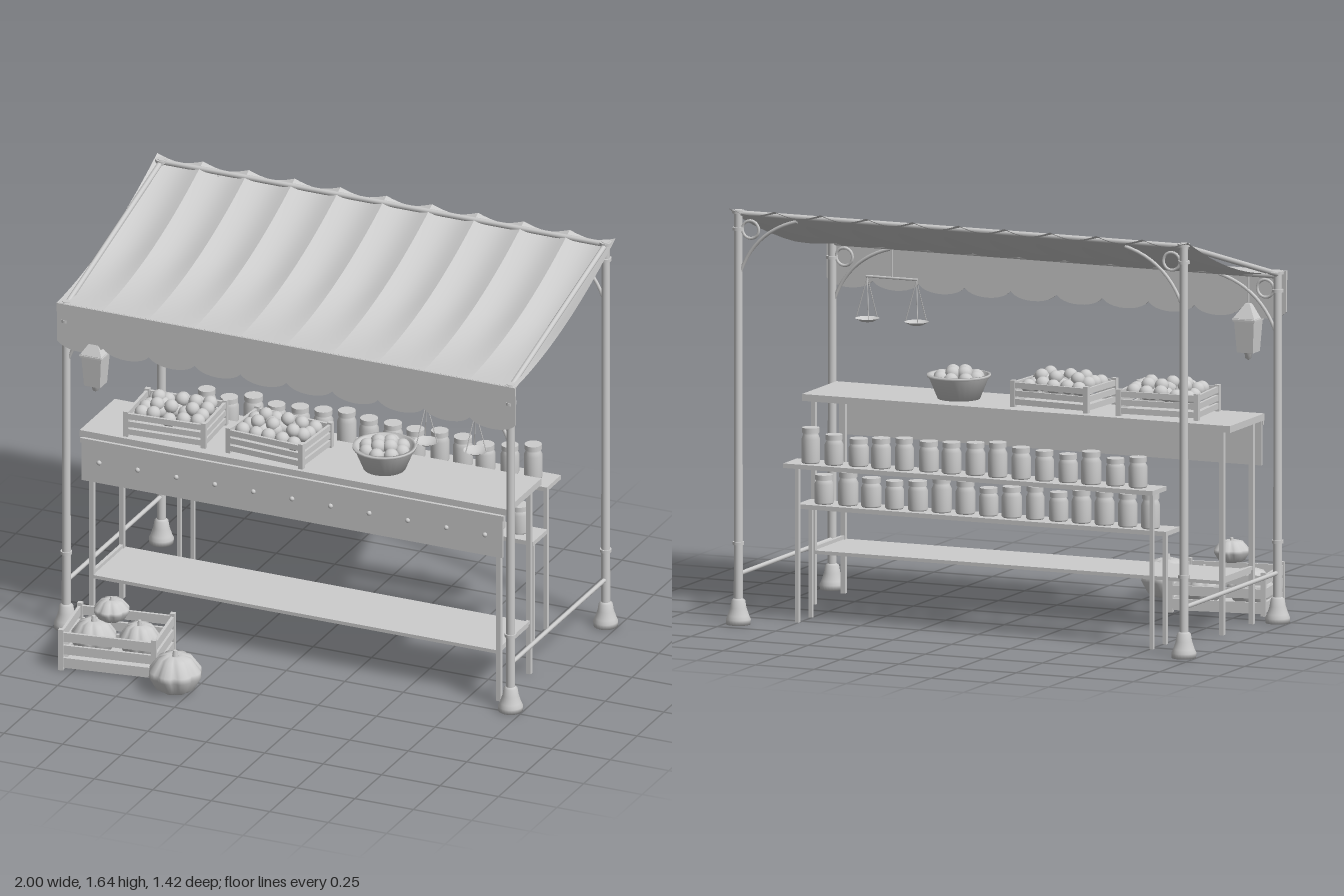
import * as THREE from 'three';

const grey = new THREE.MeshStandardMaterial({ color: 0xcccccc, side: THREE.DoubleSide });
grey.name = 'plain grey';

let seed = 7;
const rand = () => (seed = (seed * 16807) % 2147483647) / 2147483647;

function add(parent, name, geo, x = 0, y = 0, z = 0) {
  const m = new THREE.Mesh(geo, grey);
  m.name = name;
  m.position.set(x, y, z);
  parent.add(m);
  return m;
}
const box = (p, name, w, h, d, x, y, z) => add(p, name, new THREE.BoxGeometry(w, h, d), x, y, z);
const lathe = (pts, n = 20) => new THREE.LatheGeometry(pts.map(a => new THREE.Vector2(...a)), n);
const V = (x, y, z) => new THREE.Vector3(x, y, z);

// Straight round bar between two points
function bar(p, name, a, b, r, n = 10) {
  const d = b.clone().sub(a);
  const m = add(p, name, new THREE.CylinderGeometry(r, r, d.length(), n));
  m.position.copy(a).addScaledVector(d, 0.5);
  m.quaternion.setFromUnitVectors(V(0, 1, 0), d.normalize());
}

function group(parent, name, x = 0, y = 0, z = 0, ry = 0) {
  const g = new THREE.Group();
  g.name = name;
  g.position.set(x, y, z);
  g.rotation.y = ry;
  parent.add(g);
  return g;
}

// Slatted crate with corner posts and a floor
function crate(parent, w, h, d, x, y, z, ry) {
  const g = group(parent, 'crate', x, y, z, ry), t = 0.012, post = 0.02;
  box(g, 'crateFloor', w - 0.02, t, d - 0.02, 0, 0.014, 0);
  for (const sx of [-1, 1]) for (const sz of [-1, 1])
    box(g, 'cratePost', post, h, post, sx * (w - post) / 2, h / 2, sz * (d - post) / 2);
  for (let i = 0; i < 3; i++) {
    const sy = h * (0.2 + i * 0.31), sh = h * 0.22;
    for (const s of [-1, 1]) {
      box(g, 'crateSlat', w - 0.004, sh, t, 0, sy, s * (d / 2 - t / 2 - 0.003));
      box(g, 'crateSlat', t, sh, d - 0.004, s * (w / 2 - t / 2 - 0.003), sy, 0);
    }
  }
  return g;
}

// Eight-lobed squash with a stem
function pumpkin(parent, r, h, x, y, z) {
  const g = group(parent, 'pumpkin', x, y, z);
  const geo = lathe([[0, 0.04], [0.55, 0], [0.75, 0.1], [1, 0.43], [0.98, 0.58], [0.62, 0.93], [0.3, 1], [0, 0.93]]
    .map(([a, b]) => [a * r, b * h]), 48);
  const p = geo.attributes.position;
  for (let i = 0; i < p.count; i++) {
    const k = 0.88 + 0.12 * Math.sqrt(Math.abs(Math.cos(4 * Math.atan2(p.getZ(i), p.getX(i)))));
    p.setX(i, p.getX(i) * k);
    p.setZ(i, p.getZ(i) * k);
  }
  geo.computeVertexNormals();
  add(g, 'pumpkinBody', geo);
  add(g, 'pumpkinStem', new THREE.CylinderGeometry(r * 0.08, r * 0.13, h * 0.2, 8), 0, h * 1.02, 0);
}

function jar(parent, x, y, z) {
  const h = 0.105 + rand() * 0.035, r = 0.036 + rand() * 0.004;
  const g = group(parent, 'jar', x, y, z);
  add(g, 'jarBody', lathe([[0, 0], [r * 0.9, 0], [r, 0.006], [r, h * 0.68], [r * 0.8, h * 0.8], [r * 0.8, h - 0.018]], 18));
  add(g, 'jarLid', new THREE.CylinderGeometry(r * 0.92, r * 0.92, 0.02, 18), 0, h - 0.01, 0);
}

const fruit = (p, r, x, y, z) => add(p, 'fruit', new THREE.SphereGeometry(r, 14, 10), x, y, z);

export function createModel() {
  const root = new THREE.Group();
  root.name = 'marketStall';
  const FZ = 0.23, BZ = -0.66;

  // Four posts with bell feet, collars and curved brackets
  for (const sx of [-1, 1]) for (const [z, h, c] of [[FZ, 1.39, 1.31], [BZ, 1.635, 1.56]]) {
    const g = group(root, 'post', sx * 0.95, 0, z);
    add(g, 'postPole', new THREE.CylinderGeometry(0.016, 0.018, h, 16), 0, h / 2, 0);
    add(g, 'postFoot', lathe([[0, 0], [0.048, 0], [0.049, 0.02], [0.042, 0.035], [0.032, 0.065], [0.027, 0.095], [0.018, 0.102]], 24));
    for (const y of [0.32, c])
      add(g, 'postCollar', new THREE.CylinderGeometry(0.023, 0.023, 0.012, 16), 0, y, 0);
    add(g, 'postCap', new THREE.CylinderGeometry(0.024, 0.024, 0.012, 16), 0, h - 0.008, 0);
    const curve = new THREE.QuadraticBezierCurve3(V(0, h - 0.27, 0), V(-sx * 0.06, h - 0.08, 0), V(-sx * 0.25, h - 0.03, 0));
    add(g, 'bracket', new THREE.TubeGeometry(curve, 12, 0.007, 8));
    add(g, 'bracketRing', new THREE.TorusGeometry(0.035, 0.006, 8, 20), -sx * 0.052, h - 0.075, 0);
  }

  // Canopy frame and low side rails
  bar(root, 'frontRail', V(-0.95, 1.368, FZ), V(0.95, 1.368, FZ), 0.011);
  bar(root, 'backRail', V(-0.95, 1.622, BZ), V(0.95, 1.622, BZ), 0.011);
  for (const x of [-0.95, 0.95]) {
    bar(root, 'sideRail', V(x, 1.375, FZ), V(x, 1.622, BZ), 0.011);
    bar(root, 'lowRail', V(x, 0.197, FZ), V(x, 0.197, BZ), 0.009);
  }

  // Canopy of ten sagging cloth panels
  const W = 0.196, canopy = group(root, 'canopy');
  for (let i = 0; i < 10; i++) {
    const geo = new THREE.PlaneGeometry(1, 1, 8, 14), p = geo.attributes.position;
    for (let k = 0; k < p.count; k++) {
      const u = p.getX(k) + 0.5, t = p.getY(k) + 0.5;
      const y = 1.387 + 0.255 * t - 0.2 * t * (1 - t) - 0.022 * Math.sin(Math.PI * u) * Math.min(1, t * 2);
      p.setXYZ(k, -0.98 + (i + u) * W, y, 0.25 - 0.937 * t);
    }
    geo.computeVertexNormals();
    add(canopy, 'canopyPanel', geo);
  }

  // Scalloped valance
  const s = new THREE.Shape();
  s.moveTo(-0.98, 1.387);
  s.lineTo(-0.98, 1.225);
  for (let i = 0; i < 10; i++) {
    const x = -0.98 + i * W;
    s.bezierCurveTo(x + 0.035, 1.182, x + W - 0.035, 1.182, x + W, 1.225);
  }
  s.lineTo(0.98, 1.387);
  add(root, 'valance', new THREE.ExtrudeGeometry(s, { depth: 0.006, bevelEnabled: false, curveSegments: 10 }), 0, 0, 0.244);
  box(root, 'valanceHem', 1.96, 0.037, 0.006, 0, 1.368, 0.253);

  // Counter with skirt board, studs, legs and low shelf
  const counter = group(root, 'counter');
  box(counter, 'counterTop', 1.825, 0.027, 0.327, 0, 0.816, 0.023);
  box(counter, 'skirtBoard', 1.8, 0.18, 0.01, 0, 0.713, 0.191);
  box(counter, 'skirtTrim', 1.81, 0.02, 0.008, 0, 0.793, 0.196);
  for (let i = -5; i <= 5; i++)
    add(counter, 'stud', new THREE.SphereGeometry(0.01, 10, 8), i * 0.165, 0.71, 0.197);
  for (const x of [-0.87, 0.87]) {
    for (const z of [0.163, -0.12]) box(counter, 'counterLeg', 0.019, 0.805, 0.019, x, 0.4025, z);
    box(counter, 'legRail', 0.014, 0.014, 0.28, x, 0.222, 0.02);
  }
  box(counter, 'lowShelf', 1.74, 0.014, 0.3, 0, 0.207, 0.02);

  // Two stepped back shelves with rows of jars
  for (const [y, z] of [[0.455, -0.403], [0.635, -0.53]]) {
    const g = group(root, 'backShelf');
    box(g, 'shelfBoard', 1.575, 0.018, 0.132, 0, y - 0.009, z);
    for (const x of [-0.755, 0.755]) box(g, 'shelfLeg', 0.015, y - 0.01, 0.015, x, (y - 0.01) / 2, z);
    for (let i = -7; i <= 7; i++) jar(g, i * 0.0995, y, z + (rand() - 0.5) * 0.016);
  }

  // Fruit crates on the counter
  for (const [x, ry] of [[-0.572, 0.07], [-0.128, -0.07]]) {
    const g = crate(root, 0.342, 0.105, 0.255, x, 0.83, 0.033, ry);
    for (let i = 0; i < 5; i++) for (let j = 0; j < 4; j++)
      fruit(g, 0.029, (i - 2) * 0.058 + (rand() - 0.5) * 0.015, 0.078 + rand() * 0.02, (j - 1.5) * 0.056 + (rand() - 0.5) * 0.012);
    for (let i = 0; i < 6; i++)
      fruit(g, 0.028, ((i % 3) - 1) * 0.075 + (rand() - 0.5) * 0.03, 0.116, (i < 3 ? -0.04 : 0.035) + (rand() - 0.5) * 0.02);
  }

  // Fruit bowl
  const bowl = group(root, 'bowl', 0.315, 0.83, 0.02);
  add(bowl, 'bowlBody', lathe([[0, 0], [0.083, 0], [0.118, 0.085], [0.125, 0.087], [0.125, 0.096], [0.113, 0.096], [0.078, 0.012], [0, 0.012]], 28));
  for (let i = 0; i < 8; i++)
    fruit(bowl, 0.03, 0.075 * Math.cos(i * Math.PI / 4), 0.08, 0.075 * Math.sin(i * Math.PI / 4));
  for (let i = 0; i < 4; i++)
    fruit(bowl, 0.03, 0.033 * Math.cos(i * 1.57 + 0.4), 0.1, 0.033 * Math.sin(i * 1.57 + 0.4));

  // Ground crate and pumpkins
  crate(root, 0.395, 0.172, 0.287, -0.635, 0, 0.444, 0.15);
  pumpkin(root, 0.092, 0.135, -0.73, 0.03, 0.455);
  pumpkin(root, 0.084, 0.13, -0.555, 0.03, 0.408);
  pumpkin(root, 0.072, 0.085, -0.65, 0.185, 0.462);
  pumpkin(root, 0.107, 0.148, -0.315, 0.004, 0.6);

  // Hanging lantern
  const lantern = group(root, 'lantern', -0.825, 0, FZ);
  const body = add(lantern, 'lanternBody', new THREE.CylinderGeometry(0.06, 0.048, 0.13, 4), 0, 1.125, 0);
  const roof = add(lantern, 'lanternRoof', new THREE.CylinderGeometry(0.012, 0.068, 0.06, 4), 0, 1.222, 0);
  const rim = add(lantern, 'lanternRim', new THREE.CylinderGeometry(0.066, 0.066, 0.012, 4), 0, 1.19, 0);
  for (const m of [body, roof, rim]) {
    m.geometry = m.geometry.toNonIndexed();
    m.geometry.computeVertexNormals();
    m.rotation.y = Math.PI / 4;
  }
  add(lantern, 'lanternTip', lathe([[0, 1.027], [0.012, 1.035], [0.014, 1.05], [0.024, 1.062]], 12));
  bar(lantern, 'lanternHook', V(0, 1.25, 0), V(0, 1.368, 0), 0.004, 6);

  // Hanging balance scale
  const scale = group(root, 'scale', 0.695, 0, FZ);
  bar(scale, 'scaleBeam', V(-0.11, 1.245, 0), V(0.11, 1.245, 0), 0.005, 8);
  bar(scale, 'scaleHanger', V(0, 1.245, 0), V(0, 1.368, 0), 0.004, 6);
  for (const x of [-0.105, 0.105]) {
    add(scale, 'scalePan', lathe([[0, 1.064], [0.025, 1.067], [0.048, 1.08]], 20), x, 0, 0);
    for (let i = 0; i < 3; i++) {
      const a = i * Math.PI * 2 / 3;
      bar(scale, 'scaleCord', V(x, 1.242, 0), V(x + 0.047 * Math.cos(a), 1.08, 0.047 * Math.sin(a)), 0.002, 5);
    }
  }
  return root;
}
